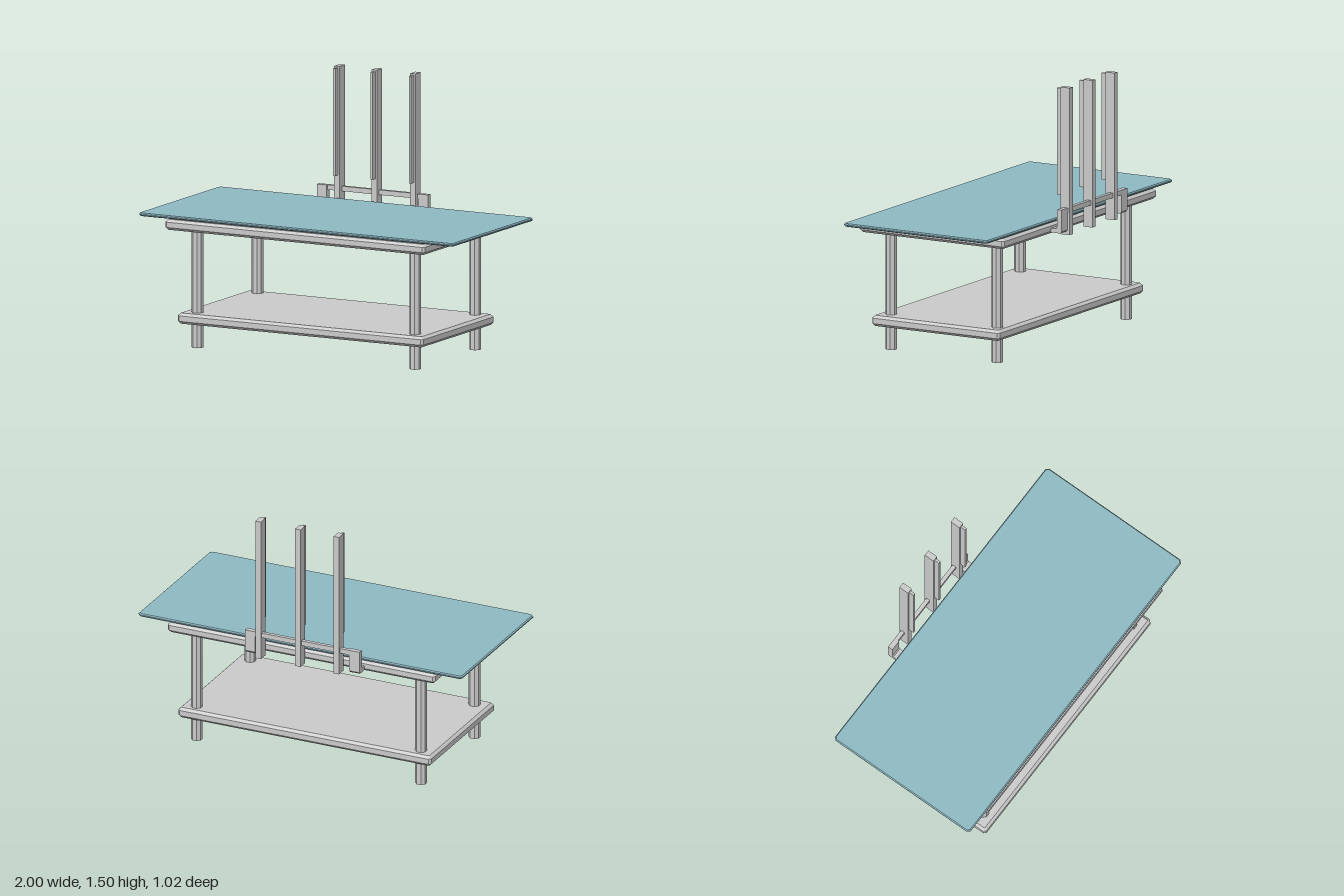
import * as THREE from 'three';

const grey = new THREE.MeshStandardMaterial({ color: 0xcccccc, flatShading: true });
const glass = new THREE.MeshStandardMaterial({ color: 0x8fbac4, flatShading: true });

function addMesh(parent, name, geometry, material = grey) {
  const mesh = new THREE.Mesh(geometry, material);
  mesh.name = name;
  parent.add(mesh);
  return mesh;
}

// Box given by its minimum and maximum corners
function box(parent, name, [x0, y0, z0], [x1, y1, z1]) {
  const mesh = addMesh(parent, name, new THREE.BoxGeometry(x1 - x0, y1 - y0, z1 - z0));
  mesh.position.set((x0 + x1) / 2, (y0 + y1) / 2, (z0 + z1) / 2);
  return mesh;
}

// Horizontal slab with cut corners and chamfered rims
function slab(parent, name, [x0, x1], [y0, y1], [z0, z1], bevel, cut, material) {
  const w = (x1 - x0) / 2 - bevel, d = (z1 - z0) / 2 - bevel;
  const shape = new THREE.Shape([
    [-w + cut, -d], [w - cut, -d], [w, -d + cut], [w, d - cut],
    [w - cut, d], [-w + cut, d], [-w, d - cut], [-w, -d + cut],
  ].map(([x, y]) => new THREE.Vector2(x, y)));
  const geometry = new THREE.ExtrudeGeometry(shape, {
    depth: y1 - y0 - 2 * bevel, bevelEnabled: true,
    bevelThickness: bevel, bevelSize: bevel, bevelSegments: 1,
  });
  geometry.rotateX(-Math.PI / 2);
  geometry.translate((x0 + x1) / 2, y0 + bevel, (z0 + z1) / 2);
  return addMesh(parent, name, geometry, material);
}

export function createModel() {
  const model = new THREE.Group();
  model.name = 'workTable';

  // Glass sheet, table top and lower shelf
  slab(model, 'glassSheet', [-1, 1], [0.736, 0.754], [-0.43, 0.508], 0.006, 0.012, glass);
  slab(model, 'tableTop', [-0.83, 0.82], [0.672, 0.732], [-0.428, 0.51], 0.015, 0.004);
  slab(model, 'lowerShelf', [-0.78, 0.78], [0.137, 0.198], [-0.374, 0.457], 0.015, 0.004);

  // Octagonal legs
  for (const x of [-0.692, 0.692]) {
    for (const z of [-0.31, 0.38]) {
      const geometry = new THREE.CylinderGeometry(0.033, 0.033, 0.69, 8);
      geometry.rotateY(Math.PI / 8);
      addMesh(model, 'leg', geometry).position.set(x, 0.345, z);
    }
  }

  // Bracket: two angled ends joined by a rail
  const bracket = new THREE.Group();
  bracket.name = 'rearBracket';
  model.add(bracket);
  const profile = new THREE.Shape([
    [0.42, 0.68], [0.487, 0.68], [0.495, 0.69], [0.495, 0.814],
    [0.465, 0.814], [0.465, 0.712], [0.459, 0.704], [0.42, 0.704],
  ].map(([x, y]) => new THREE.Vector2(x, y)));
  for (const x of [-0.4, 0.243]) {
    const geometry = new THREE.ExtrudeGeometry(profile, { depth: 0.063, bevelEnabled: false });
    geometry.rotateY(Math.PI / 2);
    // The profile's first axis now runs towards -z
    geometry.translate(x, 0, 0);
    addMesh(bracket, 'bracketEnd', geometry);
  }
  box(bracket, 'bracketRail', [-0.34, 0.786, -0.495], [0.246, 0.814, -0.472]);

  // Upright posts with a narrow strip on the front
  for (const x of [-0.262, -0.025, 0.22]) {
    const post = new THREE.Group();
    post.name = 'uprightPost';
    post.position.x = x;
    model.add(post);
    box(post, 'postBody', [-0.017, 0.66, -0.506], [0.017, 1.496, -0.446]);
    box(post, 'postStrip', [-0.007, 0.88, -0.447], [0.007, 1.487, -0.416]);
  }

  return model;
}
